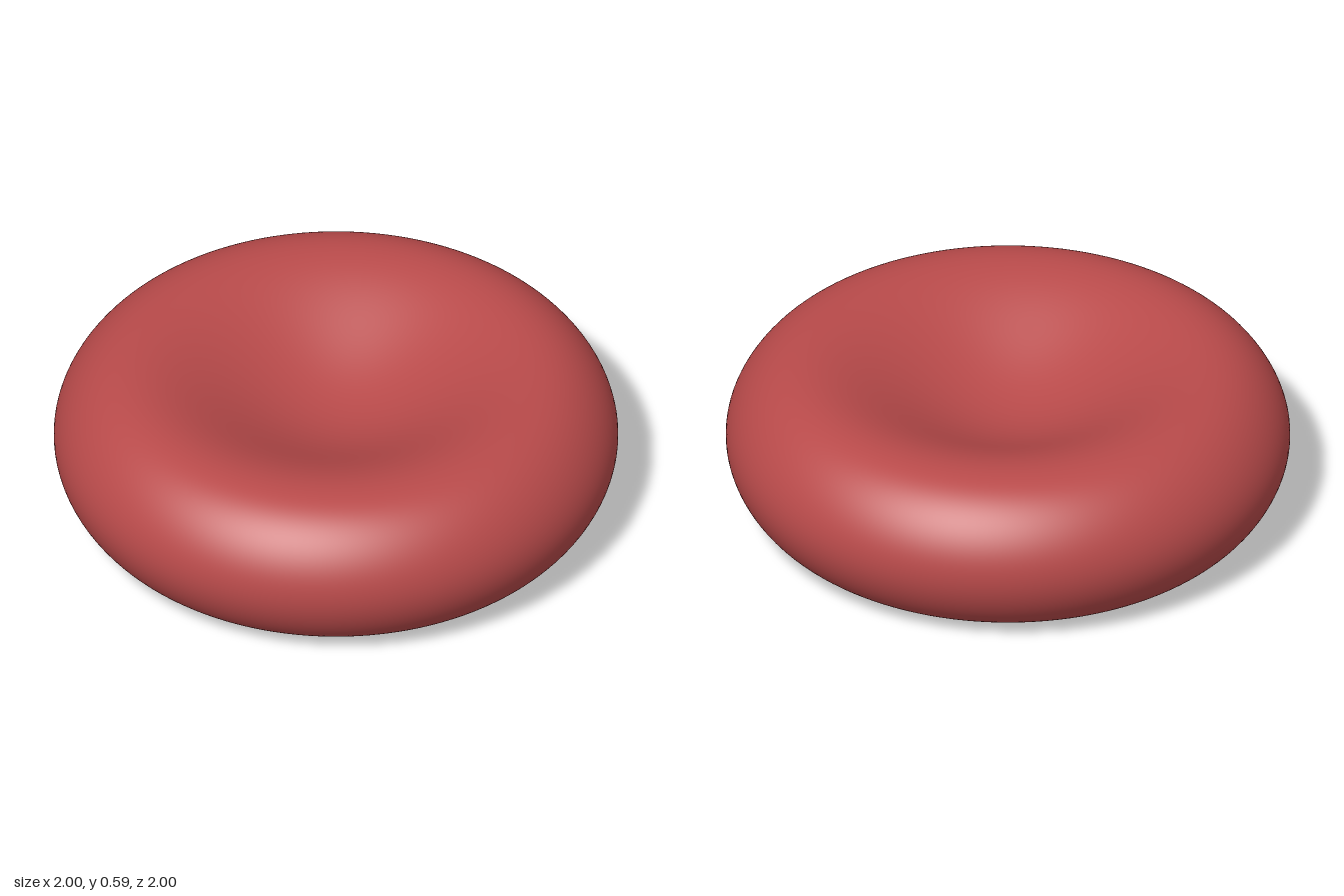
import * as THREE from 'three';

const MID = 0.295; // height of the equator

// Half thickness of the disc at angle t, where radius = sin(t):
// rounded rim, thickest near 0.7, dimpled towards the centre.
function halfThickness(t) {
  const u = Math.sin(t) ** 2;
  return Math.cos(t) * (0.079 + 0.928 * u - 0.505 * u * u);
}

export function createModel() {
  const group = new THREE.Group();
  group.name = 'biconcaveDisc';

  const red = new THREE.MeshStandardMaterial({ color: 0xb84a4a });
  red.name = 'cell red';

  // Profile from the bottom centre, round the rim, to the top centre
  const steps = 128;
  const profile = [];
  for (let i = 0; i <= steps; i++) {
    const t = (i / steps) * Math.PI;
    const radius = i === 0 || i === steps ? 0 : Math.sin(t);
    profile.push(new THREE.Vector2(radius, MID - halfThickness(t)));
  }

  const disc = new THREE.Mesh(new THREE.LatheGeometry(profile, 128), red);
  disc.name = 'disc';
  group.add(disc);

  return group;
}
